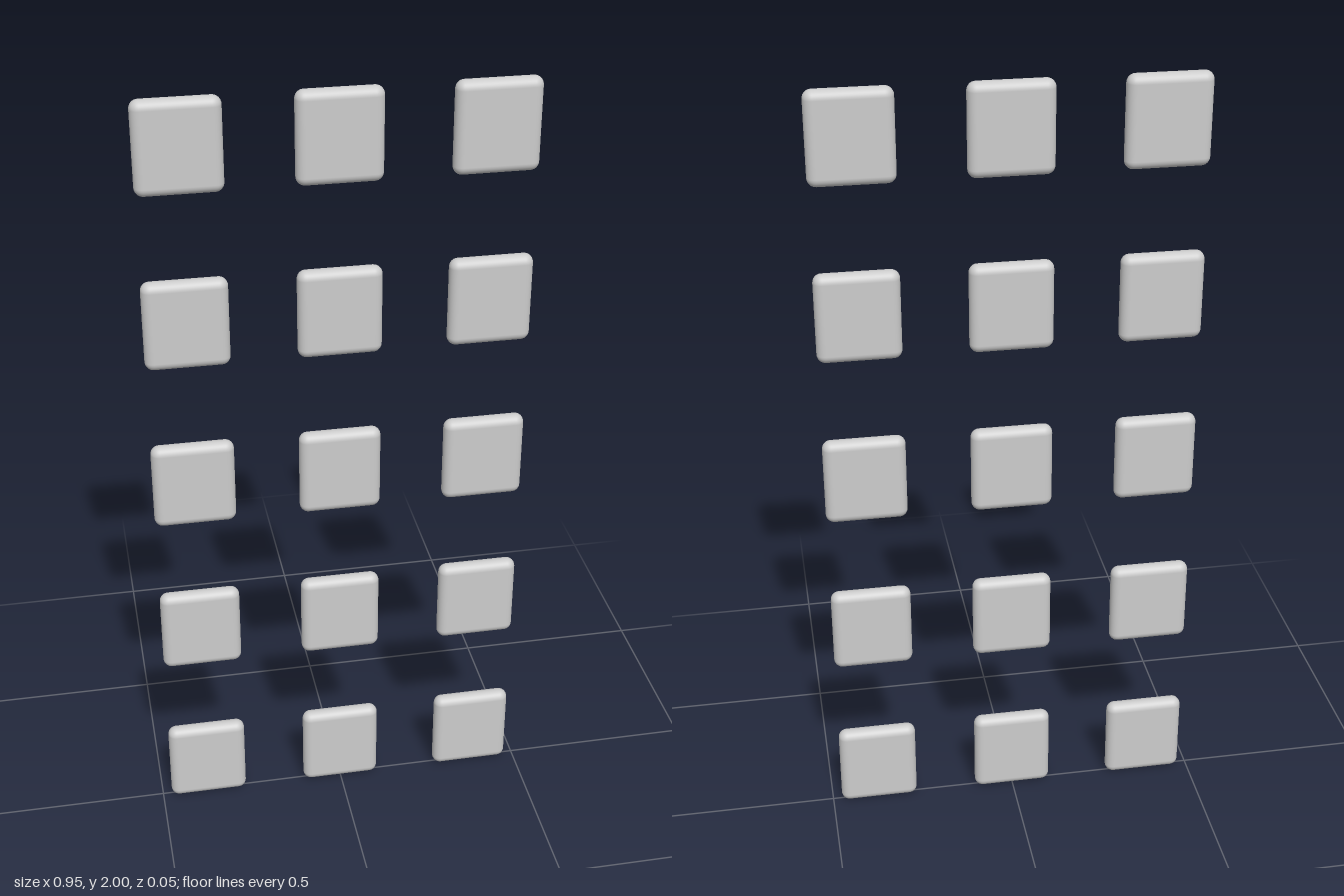
import * as THREE from 'three';
import { RoundedBoxGeometry } from 'three/addons/geometries/RoundedBoxGeometry.js';

const COLUMNS = 3, ROWS = 5;
const WIDTH = 0.208, HEIGHT = 0.228, DEPTH = 0.045, RADIUS = 0.022;
const STEP_X = 0.372, STEP_Y = (2 - HEIGHT) / (ROWS - 1);

export function createModel() {
  const model = new THREE.Group();
  model.name = 'tileGrid';
  const material = new THREE.MeshStandardMaterial({ color: 0xcccccc });
  // One thin tile with fully rounded edges, shared by the whole grid
  const geometry = new RoundedBoxGeometry(WIDTH, HEIGHT, DEPTH, 4, RADIUS);

  for (let row = 0; row < ROWS; row++) {
    // Each row is a group of evenly spaced tiles
    const rowGroup = new THREE.Group();
    rowGroup.name = `row${row + 1}`;
    rowGroup.position.y = HEIGHT / 2 + row * STEP_Y;
    for (let column = 0; column < COLUMNS; column++) {
      const tile = new THREE.Mesh(geometry, material);
      tile.name = `tile${row + 1}_${column + 1}`;
      tile.position.x = (column - (COLUMNS - 1) / 2) * STEP_X;
      rowGroup.add(tile);
    }
    model.add(rowGroup);
  }
  return model;
}
